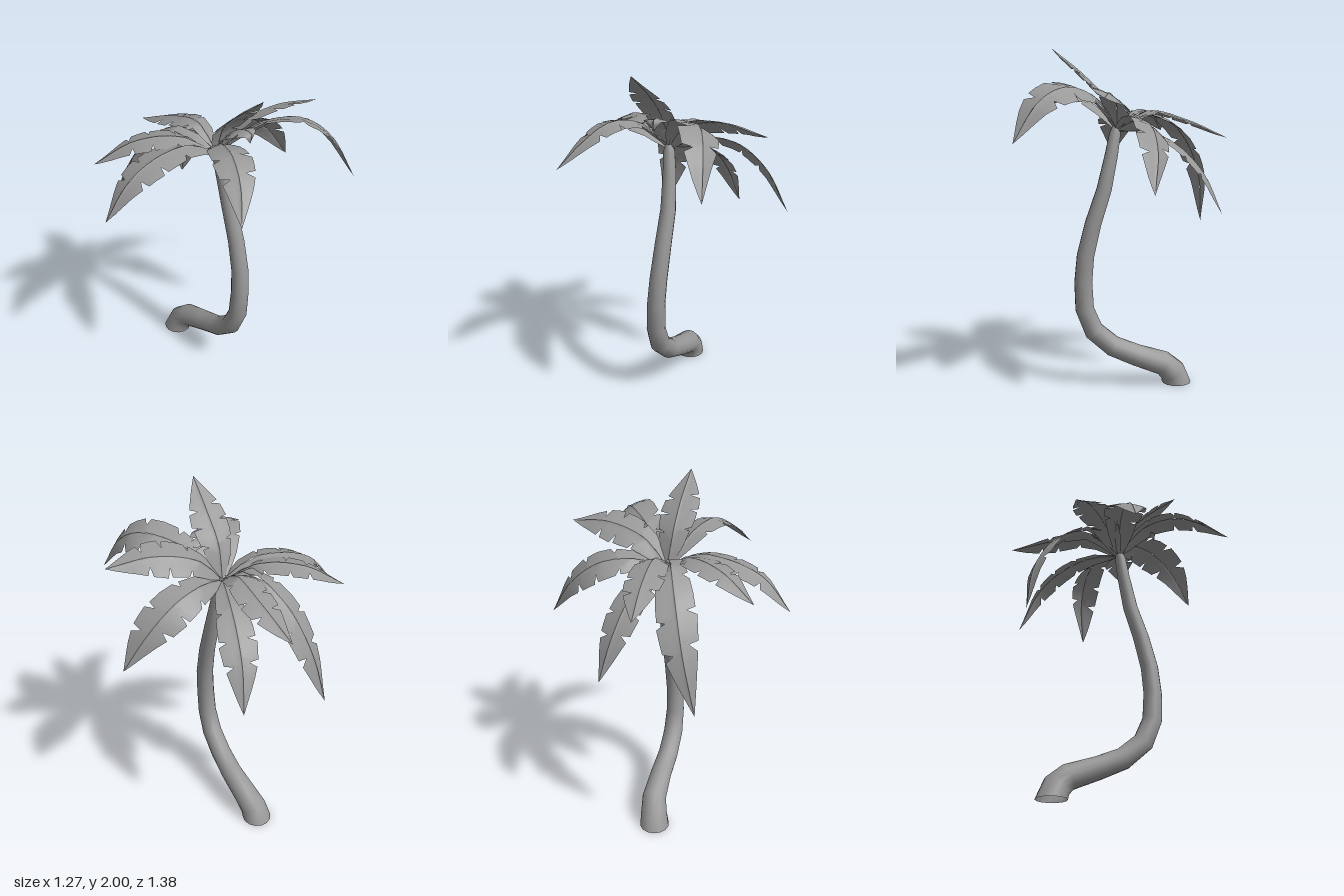
import * as THREE from 'three';

const V = (p) => new THREE.Vector3(p[0], p[1], p[2]);
const UP = new THREE.Vector3(0, 1, 0);

// Trunk centre line with radius: x, y, z, r
const TRUNK = [
  [-0.345, 0, -0.005, 0.088], [-0.318, 0.07, -0.015, 0.08], [-0.255, 0.13, -0.03, 0.073],
  [-0.09, 0.19, -0.03, 0.065], [0.05, 0.25, -0.02, 0.062], [0.165, 0.35, -0.015, 0.06],
  [0.22, 0.485, -0.015, 0.056], [0.228, 0.65, -0.02, 0.053], [0.215, 0.81, -0.03, 0.051],
  [0.17, 1.0, -0.038, 0.048], [0.105, 1.2, -0.042, 0.044], [0.06, 1.4, -0.03, 0.038],
  [0.037, 1.52, -0.017, 0.033], [0.03, 1.56, -0.015, 0.02],
];

// Midrib of each frond after the shared root, its width scale and its roll about the midrib
const FRONDS = [
  { w: 1.0, roll: 0, path: [[0.09, 1.72, 0], [0.22, 1.86, 0.01], [0.395, 2.0, 0.03]] },
  { w: 1.12, roll: -0.45, path: [[0.09, 1.64, -0.09], [0.2, 1.74, -0.2], [0.36, 1.77, -0.33], [0.5, 1.69, -0.4], [0.635, 1.48, -0.45]] },
  { w: 0.95, roll: 0, path: [[0.08, 1.62, 0.03], [0.18, 1.71, 0.1], [0.34, 1.74, 0.18], [0.48, 1.67, 0.26], [0.6, 1.53, 0.365]] },
  { w: 1.1, roll: 0, path: [[-0.01, 1.64, 0.15], [-0.04, 1.63, 0.36], [-0.05, 1.55, 0.54], [-0.06, 1.375, 0.69]] },
  { w: 1.0, roll: 0, path: [[-0.1, 1.65, 0.14], [-0.24, 1.64, 0.34], [-0.355, 1.525, 0.53]] },
  { w: 1.0, roll: 0.1, path: [[-0.15, 1.65, 0.04], [-0.37, 1.54, 0.12], [-0.52, 1.28, 0.2], [-0.565, 0.955, 0.28]] },
  { w: 0.95, roll: 0, path: [[-0.15, 1.65, -0.04], [-0.38, 1.6, -0.045], [-0.635, 1.49, -0.03]] },
  { w: 0.95, roll: -0.04, path: [[-0.14, 1.54, -0.09], [-0.31, 1.45, -0.15], [-0.45, 1.29, -0.2], [-0.54, 1.07, -0.25]] },
  { w: 1.1, roll: -0.5, path: [[-0.06, 1.6, -0.2], [-0.1, 1.57, -0.38], [-0.1, 1.44, -0.55], [-0.055, 1.23, -0.69]] },
  { w: 1.1, roll: -0.5, path: [[0.05, 1.68, -0.15], [0.12, 1.74, -0.38], [0.19, 1.71, -0.63]] },
  { w: 0.85, roll: 0, path: [[0.1, 1.68, -0.02], [0.2, 1.75, -0.03], [0.27, 1.75, -0.03], [0.26, 1.69, -0.03]] },
];

// Torn half-outline of a frond: position along midrib, half width
const EDGE = [
  [0, 0.016], [0.07, 0.045], [0.14, 0.068], [0.26, 0.087], [0.275, 0.045], [0.3, 0.094],
  [0.39, 0.103], [0.47, 0.105], [0.485, 0.055], [0.51, 0.11], [0.58, 0.104], [0.64, 0.098],
  [0.655, 0.045], [0.69, 0.088], [0.77, 0.068], [0.85, 0.046], [0.93, 0.022], [1, 0],
];
const COLUMNS = [0, 0.12, 0.5, 1];

// Quads between consecutive rows of equal length
function gridGeometry(rows, flips = () => false) {
  const n = rows[0].length, pos = rows.flat().flatMap((p) => [p.x, p.y, p.z]), index = [];
  for (let i = 0; i < rows.length - 1; i++) {
    if (flips(i) === null) continue;
    for (let j = 0; j < n - 1; j++) {
      const a = i * n + j, b = a + 1, c = a + n, d = c + 1;
      index.push(...(flips(i) ? [a, c, b, b, c, d] : [a, b, d, a, d, c]));
    }
  }
  const g = new THREE.BufferGeometry();
  g.setAttribute('position', new THREE.Float32BufferAttribute(pos, 3));
  g.setIndex(index);
  g.computeVertexNormals();
  return g;
}

// Rings set square to the bending centre line; the open foot ring lies on the ground
function trunkGeometry(sides = 14) {
  const rows = TRUNK.map((p, i) => {
    const next = V(TRUNK[Math.min(i + 1, TRUNK.length - 1)]);
    const t = i ? next.sub(V(TRUNK[i - 1])).normalize() : UP.clone();
    const a = new THREE.Vector3(0, 0, 1).addScaledVector(t, -t.z).normalize();
    const b = new THREE.Vector3().crossVectors(t, a);
    return Array.from({ length: sides + 1 }, (_, j) => {
      const th = (j / sides) * Math.PI * 2;
      return V(p).addScaledVector(a, Math.cos(th) * p[3]).addScaledVector(b, Math.sin(th) * p[3]);
    });
  });
  const g = gridGeometry(rows);
  // Share normals across the seam
  const nor = g.attributes.normal;
  for (let i = 0; i < rows.length; i++) {
    const s = i * (sides + 1), e = s + sides;
    const m = new THREE.Vector3().fromBufferAttribute(nor, s)
      .add(new THREE.Vector3().fromBufferAttribute(nor, e)).normalize();
    nor.setXYZ(s, m.x, m.y, m.z);
    nor.setXYZ(e, m.x, m.y, m.z);
  }
  return g;
}

// Two torn half blades sloping down from a raised midrib
function frondGeometry({ path, w, roll }, k) {
  const root = new THREE.Vector3(0.025, 1.54, -0.018);
  const curve = new THREE.CatmullRomCurve3([root, ...path.map(V)]);
  const level = V(path[path.length - 1]).sub(root).setY(0).normalize().cross(UP).normalize();
  const rows = [];
  for (const g of [1, -1]) {
    // Shift the tears so the two halves, and the fronds, differ
    const shift = g * 0.025 + 0.015 * Math.sin(k * 2.3 + g);
    for (const [t0, width] of EDGE) {
      const t = t0 + shift * Math.sin(Math.PI * t0);
      rows.push(COLUMNS.map((f) => {
        const u = Math.min(1, Math.max(0, t + 0.09 * f * (1 - t) * Math.min(1, t * 4)));
        const tangent = curve.getTangentAt(u);
        const side = level.clone().applyAxisAngle(tangent, roll);
        const normal = new THREE.Vector3().crossVectors(side, tangent).normalize();
        const half = width * w * f;
        const drop = (f ? Math.min(0.006, width * 0.15) : 0) + half * f * 0.16;
        return curve.getPointAt(u).addScaledVector(side, g * half).addScaledVector(normal, -drop);
      }));
    }
  }
  const n = EDGE.length;
  return gridGeometry(rows, (i) => (i === n - 1 ? null : i >= n));
}

export function createModel() {
  const model = new THREE.Group();
  model.name = 'palmTree';
  const grey = new THREE.MeshStandardMaterial({ color: 0x989898, side: THREE.DoubleSide });
  const add = (name, geometry, parent) => {
    const mesh = new THREE.Mesh(geometry, grey);
    mesh.name = name;
    parent.add(mesh);
  };

  add('trunk', trunkGeometry(), model);

  const crown = new THREE.Group();
  crown.name = 'crown';
  model.add(crown);
  FRONDS.forEach((f, k) => add(`frond${k + 1}`, frondGeometry(f, k), crown));

  return model;
}
